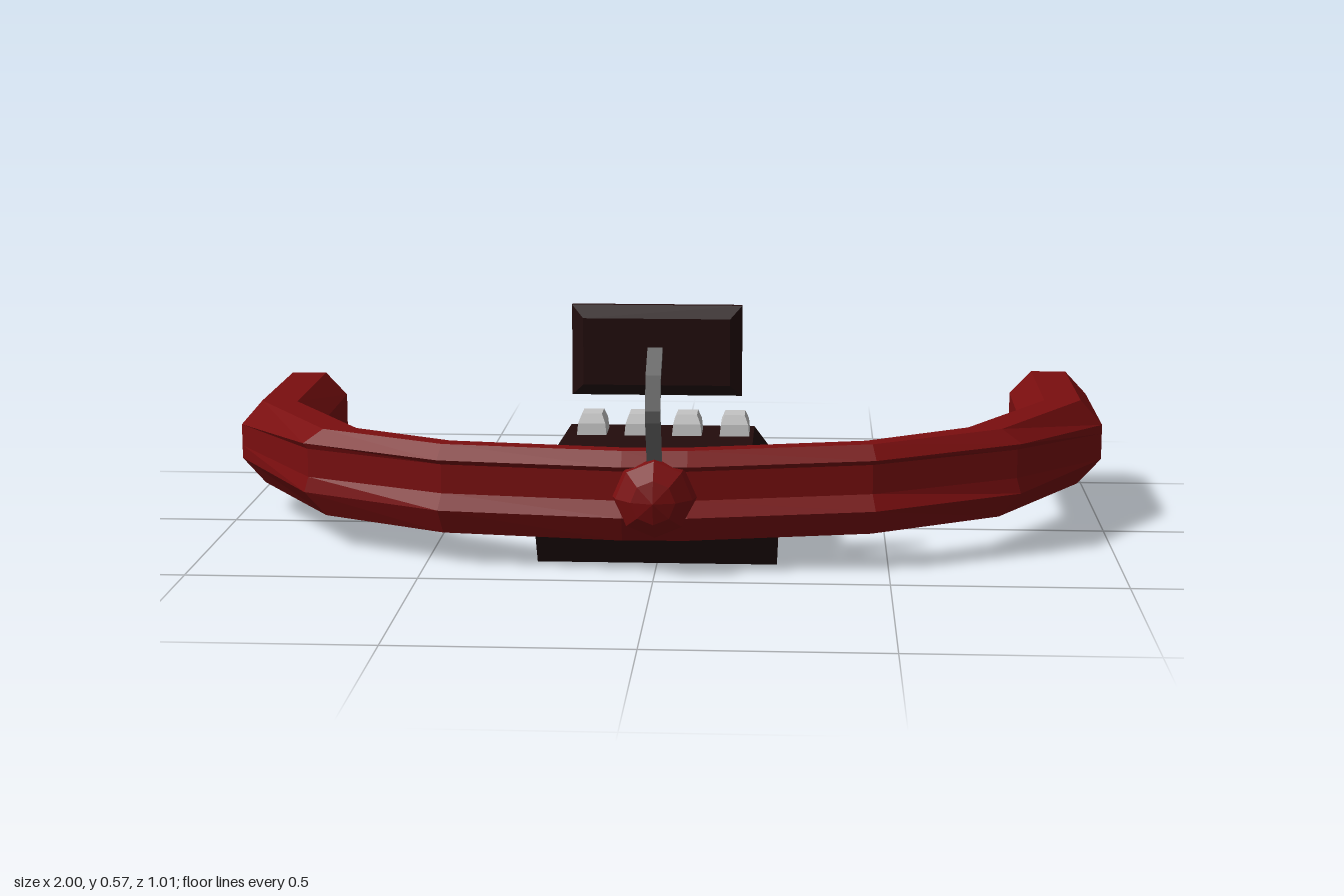
import * as THREE from 'three';

const mat = (name, color) => {
  const m = new THREE.MeshStandardMaterial({ color });
  m.name = name;
  return m;
};
const V = (x, y, z) => new THREE.Vector3(x, y, z);

// Flat-faced capped skin through rings of equal point count
function loft(rings) {
  const pos = [];
  const tri = (...pts) => pts.forEach((p) => pos.push(p.x, p.y, p.z));
  const n = rings[0].length;
  const middle = (r) => r.reduce((s, p) => s.add(p), V(0, 0, 0)).divideScalar(n);
  const first = rings[0], last = rings[rings.length - 1];
  const c0 = middle(first), c1 = middle(last);
  for (let j = 0; j < n; j++) {
    const k = (j + 1) % n;
    for (let i = 0; i + 1 < rings.length; i++) {
      const a = rings[i], b = rings[i + 1];
      tri(a[j], b[j], a[k]);
      tri(a[k], b[j], b[k]);
    }
    tri(c0, first[j], first[k]);
    tri(c1, last[k], last[j]);
  }
  const g = new THREE.BufferGeometry();
  g.setAttribute('position', new THREE.Float32BufferAttribute(pos, 3));
  g.computeVertexNormals();
  return g;
}

// Rectangles lying flat (stacked in y) and standing (stacked in z)
const flatRect = (x, y, z0, z1) => [V(-x, y, z0), V(x, y, z0), V(x, y, z1), V(-x, y, z1)];
const uprightRect = (x, y0, y1, z) => [V(-x, y0, z), V(-x, y1, z), V(x, y1, z), V(x, y0, z)];

export function createModel() {
  const red = mat('deep red', 0x7a0e0f);
  const dark = mat('dark brown', 0x220c0c);
  const grey = mat('stem grey', 0x6c6c6c);
  const light = mat('light grey', 0xc4c4c4);
  const teal = mat('screen teal', 0x0bacae);

  const model = new THREE.Group();
  const add = (name, geo, material, parent = model) => {
    const mesh = new THREE.Mesh(geo, material);
    mesh.name = name;
    parent.add(mesh);
    return mesh;
  };

  // Curved rail: outer x, outer z, inner x, inner z, centre y, half height, groove depth
  const stations = [
    [-0.938, -0.505, -0.878, -0.505, 0.177, 0.03, 0],
    [-0.976, -0.485, -0.84, -0.485, 0.176, 0.068, 0],
    [-1.0, -0.45, -0.816, -0.45, 0.175, 0.092, 0],
    [-1.0, -0.09, -0.815, -0.08, 0.168, 0.098, 0],
    [-0.79, 0.24, -0.63, 0.21, 0.168, 0.098, 0.12],
    [-0.47, 0.4, -0.44, 0.318, 0.168, 0.098, 0.45],
    [-0.07, 0.45, -0.07, 0.37, 0.168, 0.098, 0.45],
  ];
  const railRing = ([ox, oz, ix, iz, y, h, groove], side) => {
    const s = 1 - groove;
    const half = [[1, -0.45], [s, -0.1], [s, 0.55], [1, 0.68], [0.45, 1]];
    if (!groove) half.splice(0, 4, [1, -0.41], [1, -0.1], [1, 0.2], [1, 0.41]);
    const section = [[0.42, -1], ...half, ...half.slice().reverse().map(([u, v]) => [-u, v]), [-0.42, -1]];
    const lift = side > 0 ? 0.021 * Math.abs(ox) : 0;
    const ring = section.map(([u, v]) => V(
      -side * ((ox + ix) / 2 + u * (ox - ix) / 2),
      y + lift + v * h,
      (oz + iz) / 2 + u * (oz - iz) / 2,
    ));
    return ring;
  };
  const rail = [
    ...stations.map((s) => railRing(s, -1)),
    ...stations.slice().reverse().map((s) => railRing(s, 1)),
  ];
  add('handleRail', loft(rail), red);

  // Rounded knob at the middle of the rail
  const knob = new THREE.SphereGeometry(0.095, 8, 6).rotateX(Math.PI / 2).toNonIndexed();
  knob.computeVertexNormals();
  add('centreKnob', knob, red).position.set(0, 0.168, 0.41);

  // Control box with sloping front and chamfered top
  add('controlBox', loft([
    flatRect(0.26, 0, 0.047, 0.343),
    flatRect(0.26, 0.09, 0.047, 0.4),
    flatRect(0.26, 0.17, 0.047, 0.4),
    flatRect(0.205, 0.26, 0.12, 0.37),
  ]), dark);

  // Row of tapered buttons
  const buttons = new THREE.Group();
  buttons.name = 'buttons';
  model.add(buttons);
  const buttonGeo = loft([
    flatRect(0.033, 0.255, -0.044, 0.044),
    flatRect(0.03, 0.285, -0.04, 0.04),
    flatRect(0.022, 0.305, -0.03, 0.03),
  ]);
  for (let i = 0; i < 4; i++) {
    add('button', buttonGeo, light, buttons).position.set(-0.15 + i * 0.1045, 0, 0.193);
  }

  // Bent flat stem holding the monitor, as [z, y] points
  const path = [[0.42, 0.21], [0.488, 0.342], [0.494, 0.365], [0.473, 0.435], [0.395, 0.488]];
  add('monitorStem', loft(path.map(([z, y], i) => {
    const a = path[Math.max(i - 1, 0)], b = path[Math.min(i + 1, path.length - 1)];
    const d = new THREE.Vector2(b[0] - a[0], b[1] - a[1]).normalize().multiplyScalar(0.006);
    return [[-1, -1], [1, -1], [1, 1], [-1, 1]].map(([u, w]) => V(u * 0.016, y - w * d.x, z + w * d.y));
  })), grey);

  // Monitor casing, bevelled towards the stem
  const monitor = new THREE.Group();
  monitor.name = 'monitor';
  model.add(monitor);
  add('monitorCasing', loft([
    uprightRect(0.18, 0.38, 0.573, 0.374),
    uprightRect(0.18, 0.38, 0.573, 0.388),
    uprightRect(0.155, 0.405, 0.547, 0.409),
  ]), dark, monitor);
  add('screen', new THREE.BoxGeometry(0.35, 0.183, 0.004), teal, monitor).position.set(0, 0.4765, 0.373);
  monitor.position.x = 0.003;

  return model;
}
